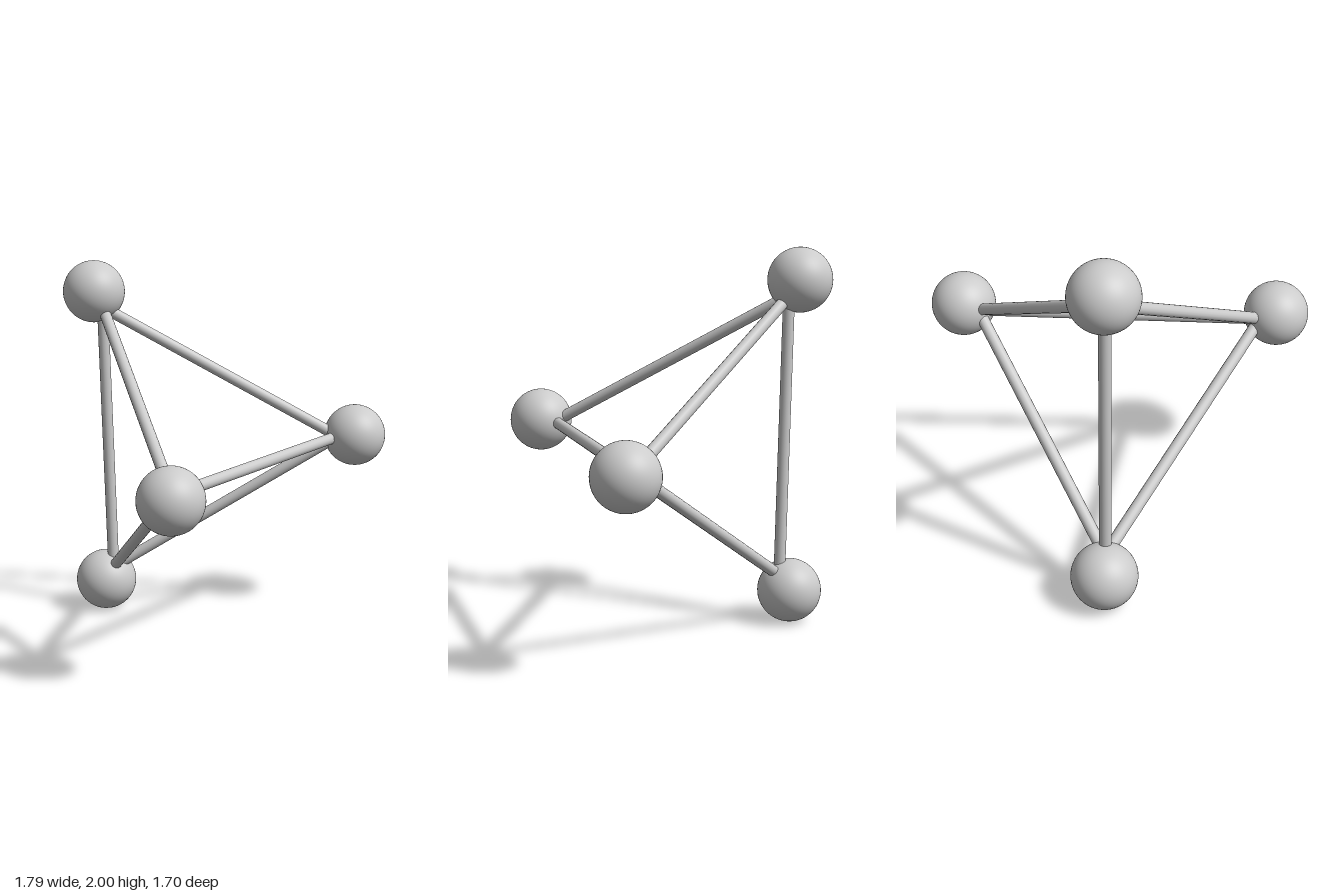
import * as THREE from 'three';

export function createModel() {
  const model = new THREE.Group();
  const material = new THREE.MeshStandardMaterial({ color: 0xcccccc });

  // Corners of the tetrahedron
  const corners = [
    ['topBall', -0.73, 1.83, -0.68],
    ['leftBall', 0.72, 1.03, -0.68],
    ['bottomBall', -0.69, 0.17, -0.68],
    ['frontBall', -0.23, 1.01, 0.68],
  ];
  const points = corners.map(([, x, y, z]) => new THREE.Vector3(x, y, z));
  const centre = points.reduce((sum, p) => sum.add(p), new THREE.Vector3()).divideScalar(4);

  // Ball at each corner
  const ballGeometry = new THREE.SphereGeometry(0.17, 48, 32);
  corners.forEach(([name], i) => {
    const ball = new THREE.Mesh(ballGeometry, material);
    ball.name = name;
    ball.position.copy(points[i]);
    model.add(ball);
  });

  // Rods along the six edges, set slightly inward from the ball centres
  const inner = points.map((p) => centre.clone().lerp(p, 0.9));
  const rods = new THREE.Group();
  rods.name = 'rods';
  const up = new THREE.Vector3(0, 1, 0);
  for (let i = 0; i < 4; i++) {
    for (let j = i + 1; j < 4; j++) {
      const span = inner[j].clone().sub(inner[i]);
      const rod = new THREE.Mesh(new THREE.CylinderGeometry(0.031, 0.031, span.length(), 16), material);
      rod.name = 'rod';
      rod.position.copy(inner[i]).addScaledVector(span, 0.5);
      rod.quaternion.setFromUnitVectors(up, span.normalize());
      rods.add(rod);
    }
  }
  model.add(rods);
  return model;
}
